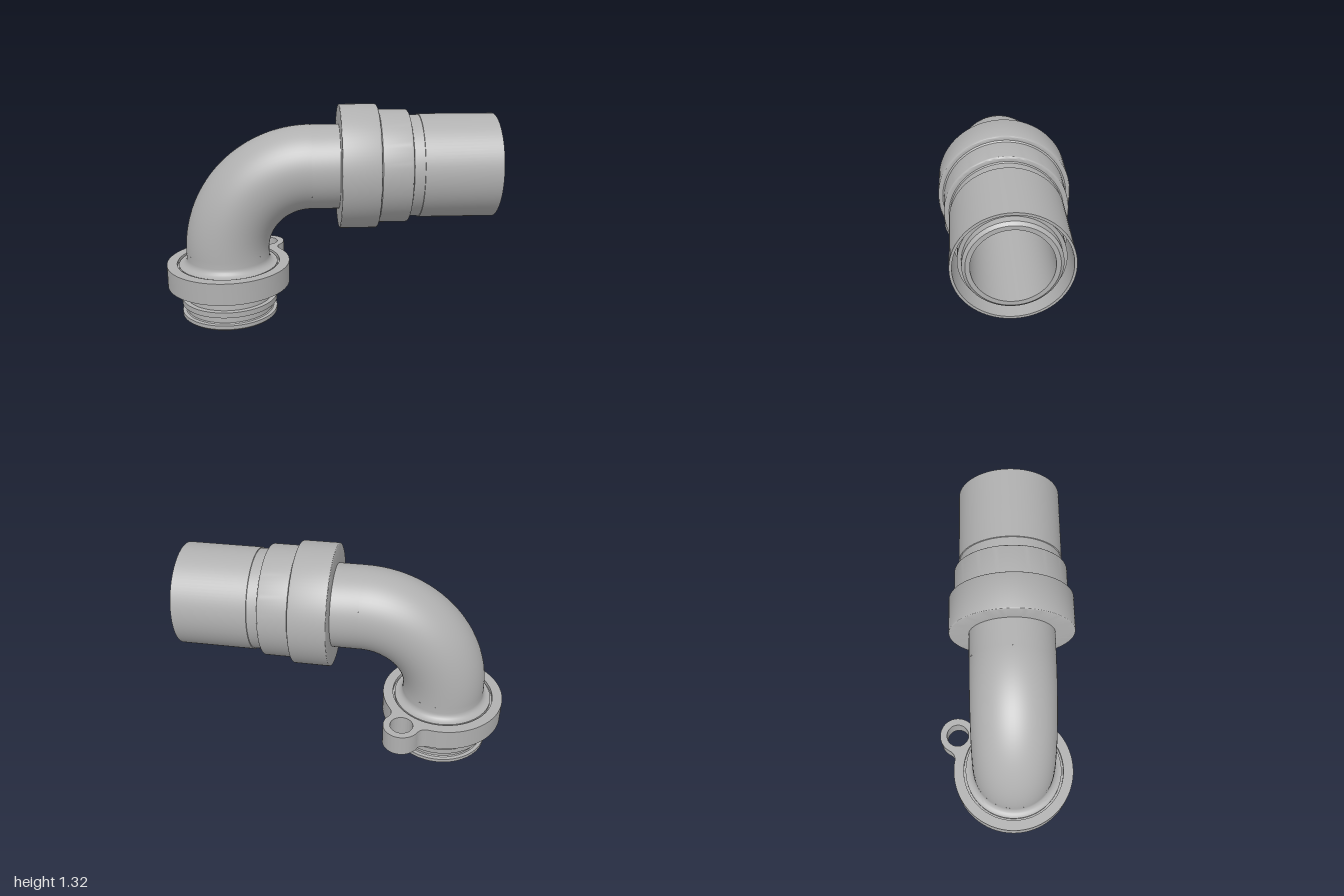
import * as THREE from 'three';
import { toCreasedNormals } from 'three/addons/utils/BufferGeometryUtils.js';

const grey = new THREE.MeshStandardMaterial({ color: 0xb0b0b0, side: THREE.DoubleSide });
grey.name = 'grey plastic';

const PIPE = 0.256, BORE = 0.212, BEND = 0.52;
const LEG_X = -0.62, AXIS_Y = 0.94, AXIS_Z = 0.038;

// Revolved part from [radius, height] pairs, with crisp steps
function lathe(points) {
  const g = new THREE.LatheGeometry(points.map(([r, h]) => new THREE.Vector2(r, h)), 96);
  return toCreasedNormals(g, 0.55);
}

// Points of a rounded corner: centre, radius, start and end angle
function corner(r, h, radius, a0, a1, n = 6) {
  return Array.from({ length: n + 1 }, (_, i) => {
    const a = a0 + (a1 - a0) * i / n;
    return [r + radius * Math.cos(a), h + radius * Math.sin(a)];
  });
}

// Clamp ring outline with a blended ear, ear pointing along +x
function flangeGeometry(R, r, d, f, hole, earHole, height) {
  const a = ((R + f) ** 2 + d * d - (r + f) ** 2) / (2 * d);
  const h = Math.sqrt((R + f) ** 2 - a * a);
  const phi = Math.atan2(h, a), psi = Math.atan2(h, d - a), PI = Math.PI;
  const s = new THREE.Shape();
  s.absarc(0, 0, R, phi, 2 * PI - phi, false);
  s.absarc(a, -h, f, PI - phi, psi, true);
  s.absarc(d, 0, r, psi - PI, PI - psi, false);
  s.absarc(a, h, f, -psi, phi - PI, true);
  s.holes.push(new THREE.Path().absarc(0, 0, hole, 0, 2 * PI, true));
  s.holes.push(new THREE.Path().absarc(d, 0, earHole, 0, 2 * PI, true));
  const g = new THREE.ExtrudeGeometry(s, { depth: height, bevelEnabled: false, curveSegments: 64 });
  return toCreasedNormals(g, 0.55);
}

export function createModel() {
  const group = new THREE.Group();
  group.name = 'hose elbow';
  const add = (name, geometry, x, y) => {
    const m = new THREE.Mesh(geometry, grey);
    m.name = name;
    m.position.set(x, y, AXIS_Z);
    group.add(m);
  };
  const H = Math.PI / 2;

  // Bend: outer skin and bore
  for (const [name, r] of [['bendOuter', PIPE], ['bendBore', BORE]]) {
    const g = new THREE.TorusGeometry(BEND, r, 64, 64, H).rotateZ(H);
    add(name, g, LEG_X + BEND, AXIS_Y - BEND);
  }

  // Grooved spigot, shoulder and flare up to the bend
  add('spigot', lathe([
    [0.27, 0], [0.287, 0], [0.298, 0.011], [0.298, 0.034], [0.276, 0.036], [0.268, 0.044],
    [0.268, 0.084], [0.298, 0.086], [0.298, 0.12], [0.268, 0.122],
    [0.268, 0.162], [0.276, 0.17], [0.298, 0.172], [0.298, 0.225],
    [0.322, 0.225], [0.322, 0.318], [0.305, 0.318], [0.305, 0.336],
    ...corner(0.3, 0.38, 0.044, -H, -Math.PI), [PIPE, AXIS_Y - BEND],
    [BORE, AXIS_Y - BEND], [0.225, 0.34], [0.25, 0.24], [0.27, 0.17], [0.27, 0],
  ]), LEG_X, 0);

  // Flange ring with the bolt ear at the back
  const flange = flangeGeometry(0.38, 0.113, 0.423, 0.06, 0.317, 0.07, 0.136);
  flange.rotateZ(Math.atan2(0.353, 0.228)).rotateX(-H);
  add('flange', flange, LEG_X, 0.205);

  // Straight outlet with its stepped collar and bore
  const outlet = lathe([
    [PIPE, LEG_X + BEND], [PIPE, 0.066],
    ...corner(0.367, 0.074, 0.008, -H, 0), ...corner(0.363, 0.281, 0.012, 0, H),
    [0.35, 0.293], [0.342, 0.3], ...corner(0.33, 0.466, 0.012, 0, H),
    [0.314, 0.478], [0.308, 0.484], [0.308, 0.545], [0.314, 0.546],
    [0.314, 1], [0.3, 1], [0.3, 0.72], [0.274, 0.72], [0.274, 0.93],
    [0.253, 0.93], [0.253, 0.975], [0.236, 0.99], [BORE, 0.99], [BORE, LEG_X + BEND],
  ]).rotateZ(-H);
  add('outletCollar', outlet, 0, AXIS_Y);

  return group;
}
